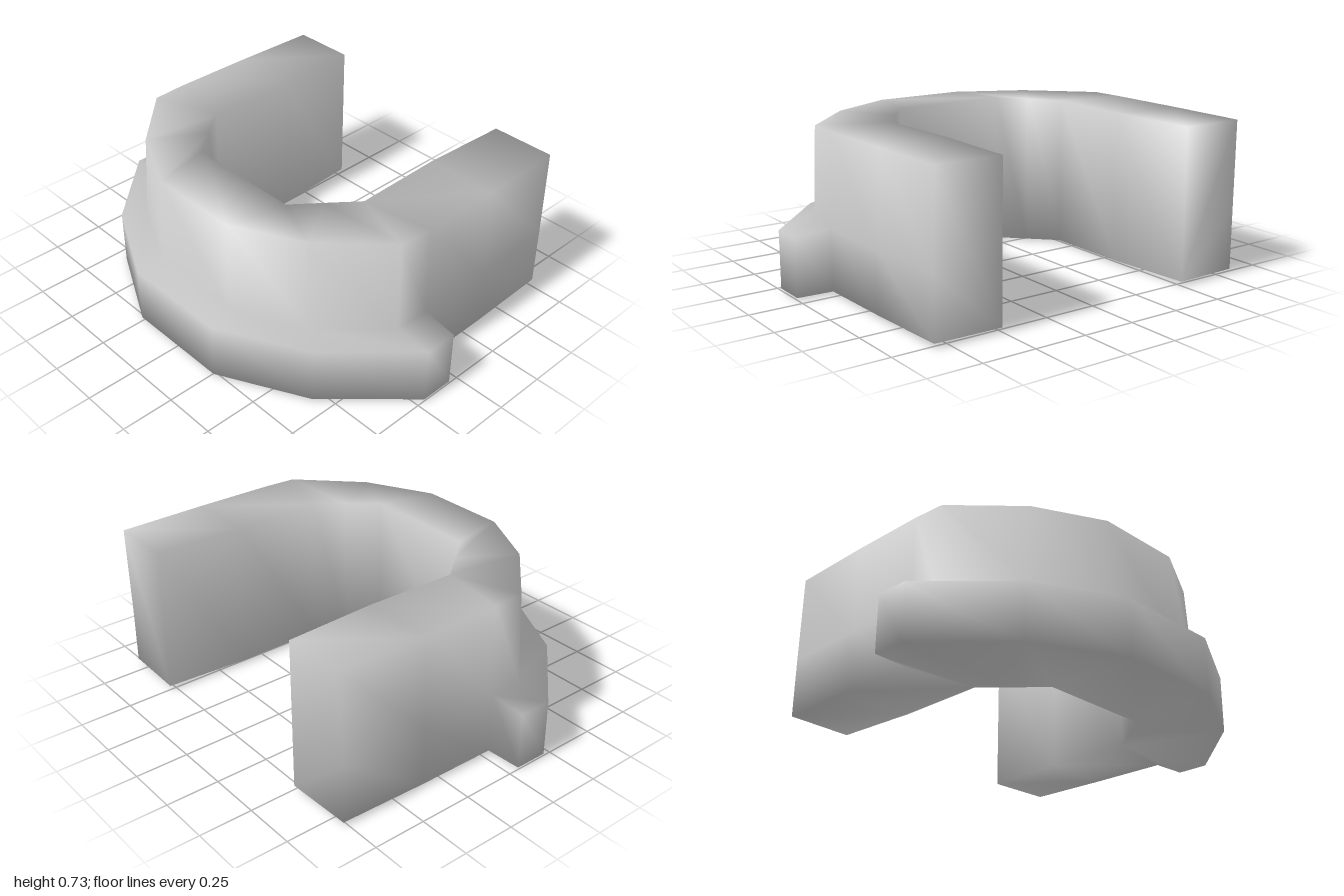
import * as THREE from 'three';
import { mergeVertices } from 'three/addons/utils/BufferGeometryUtils.js';

// Half of the U, from the tip of the left arm to the front centre.
// Each station: inner [x, z], wall top [x, z], wall foot [x, z], flange rim [x, z], bottom y
const HALF = [
  [[0.50, -0.78], [0.81, -0.78], [0.82, -0.77], null, 0.02],
  [[0.48, -0.35], [0.82, -0.35], [0.83, -0.35], null, 0.015],
  [[0.49, 0.09], [0.82, 0.04], [0.83, 0.04], null, 0.01],
  [[0.49, 0.09], [0.82, 0.04], [0.83, 0.04], [1.0, 0.05], 0.01], // flange begins
  [[0.49, 0.09], [0.81, 0.20], [0.825, 0.21], [1.0, 0.21], 0.01],
  [[0.385, 0.22], [0.54, 0.47], [0.555, 0.49], [0.67, 0.56], 0.005],
  [[0.28, 0.35], [0.22, 0.63], [0.225, 0.65], [0.26, 0.77], 0.0],
];
const TOP = 0.73, FOOT = 0.30, RIM = 0.28;

// Six-point cross-section; without a flange its points fold onto the wall
function section([inner, wall, foot, rim, bottom], side) {
  const p = ([x, z], y) => [x * side, y, z];
  return [
    p(inner, bottom),
    p(rim ?? foot, rim ? 0.01 : bottom),
    p(rim ?? foot, rim ? RIM : FOOT),
    p(foot, FOOT),
    p(wall, TOP),
    p(inner, TOP),
  ];
}

// Skin the sections, cap both ends, and smooth across shared corners
function skin(sections) {
  const n = sections[0].length;
  const last = (sections.length - 1) * n;
  const index = [];
  for (let i = 0; i < sections.length - 1; i++) {
    for (let j = 0; j < n; j++) {
      const a = i * n + j, b = i * n + (j + 1) % n;
      index.push(a, b, b + n, a, b + n, a + n);
    }
  }
  for (let j = 1; j < n - 1; j++) {
    index.push(0, j + 1, j);
    index.push(last, last + j, last + j + 1);
  }
  const geometry = new THREE.BufferGeometry();
  geometry.setAttribute('position', new THREE.Float32BufferAttribute(sections.flat(2), 3));
  geometry.setIndex(index);
  const merged = mergeVertices(geometry, 1e-4);
  // Drop triangles that collapsed where corners coincide
  const src = merged.index.array, kept = [];
  for (let i = 0; i < src.length; i += 3) {
    const [a, b, c] = [src[i], src[i + 1], src[i + 2]];
    if (a !== b && b !== c && c !== a) kept.push(a, b, c);
  }
  merged.setIndex(kept);
  merged.computeVertexNormals();
  return merged;
}

export function createModel() {
  const group = new THREE.Group();
  group.name = 'flangedClip';

  // U-shaped wall with a flange round the front foot
  const sections = [
    ...HALF.map((s) => section(s, 1)),
    ...[...HALF].reverse().map((s) => section(s, -1)),
  ];
  const body = new THREE.Mesh(
    skin(sections),
    new THREE.MeshStandardMaterial({ color: 0xcccccc })
  );
  body.name = 'flangedWall';
  group.add(body);
  return group;
}
